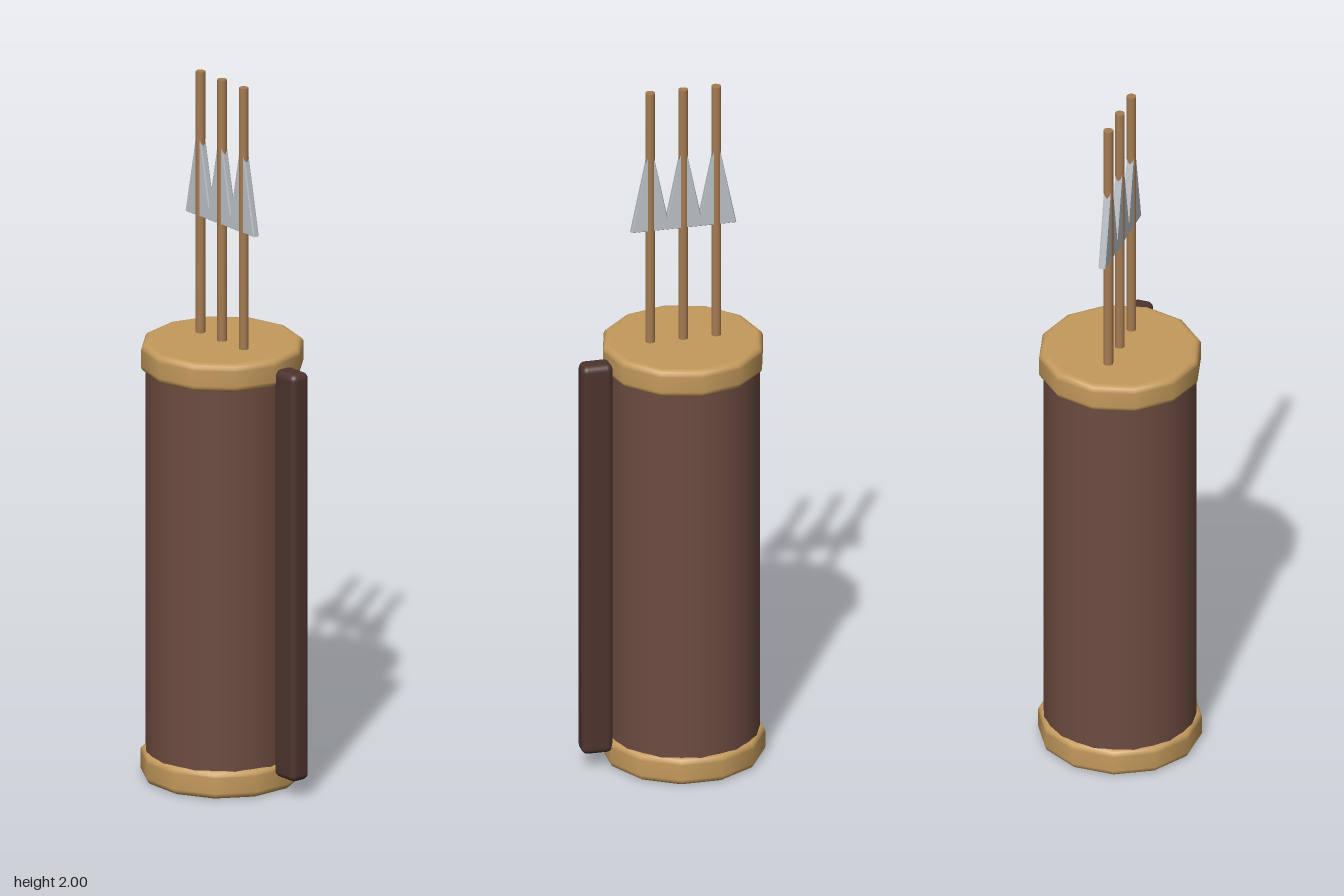
import * as THREE from 'three';
import { RoundedBoxGeometry } from 'three/addons/geometries/RoundedBoxGeometry.js';
import { toCreasedNormals } from 'three/addons/utils/BufferGeometryUtils.js';

const mat = (name, color) => {
  const m = new THREE.MeshStandardMaterial({ color });
  m.name = name;
  return m;
};

const CX = -0.037; // quiver axis

export function createModel() {
  const leather = mat('brown leather', 0x6d4c41);
  const darkLeather = mat('dark leather', 0x4e342e);
  const tan = mat('tan trim', 0xc49a5c);
  const wood = mat('arrow wood', 0xa67c52);
  const steel = mat('arrowhead steel', 0xbdc3c7);

  const group = new THREE.Group();
  group.name = 'quiver';
  const add = (name, geometry, material, x, y, z = 0) => {
    const mesh = new THREE.Mesh(geometry, material);
    mesh.name = name;
    mesh.position.set(x, y, z);
    group.add(mesh);
    return mesh;
  };

  // Leather tube
  add('body', new THREE.CylinderGeometry(0.21, 0.21, 1.17, 24), leather, CX, 0.625);

  // Twelve-sided caps with rounded rims
  const R = 0.225, H = 0.08, B = 0.018;
  const profile = [new THREE.Vector2(0, 0), new THREE.Vector2(R - B - 0.002, 0)];
  for (const end of [0, 1]) {
    for (let i = 0; i <= 4; i++) {
      const a = (-1 + end + i / 4) * Math.PI / 2;
      profile.push(new THREE.Vector2(R - B + B * Math.cos(a), (end ? H - B : B) + B * Math.sin(a)));
    }
  }
  profile.push(new THREE.Vector2(R - B - 0.002, H), new THREE.Vector2(0, H));
  const capGeometry = new THREE.LatheGeometry(profile, 12);
  add('topRim', capGeometry, tan, CX, 1.17);
  add('bottomRim', capGeometry, tan, CX, 0.002).rotation.y = Math.PI / 12;

  // Side strap
  add('strap', new RoundedBoxGeometry(0.088, 1.17, 0.061, 3, 0.018), darkLeather, 0.217, 0.635, -0.036);

  // Arrows: a round shaft through a flat bevelled triangular head
  const triangle = new THREE.Shape([
    new THREE.Vector2(-0.055, 0), new THREE.Vector2(0.055, 0), new THREE.Vector2(0, 0.268),
  ]);
  const headGeometry = toCreasedNormals(new THREE.ExtrudeGeometry(triangle, {
    depth: 0.012, bevelEnabled: true, bevelThickness: 0.004, bevelSize: 0.003,
    bevelOffset: -0.003, bevelSegments: 1,
  }).translate(0, 0, -0.006), 0.4);
  const shaftGeometry = new THREE.CylinderGeometry(0.0135, 0.0135, 0.8, 12);
  for (const dx of [-0.093, 0, 0.093]) {
    add('arrowShaft', shaftGeometry, wood, CX - 0.001 + dx, 1.6);
    add('arrowHead', headGeometry, steel, CX - 0.001 + dx, 1.585);
  }

  return group;
}
